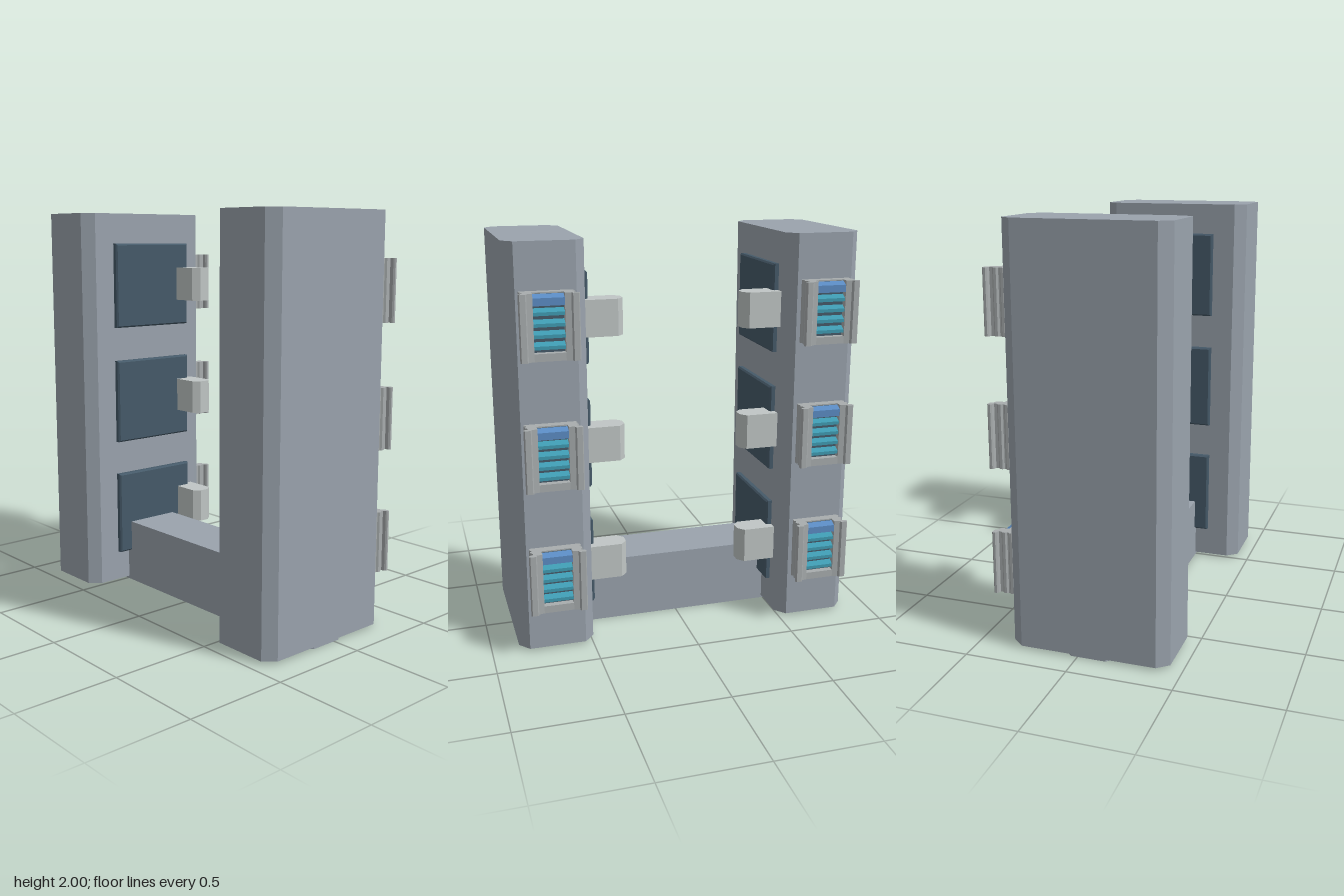
import * as THREE from 'three';

const paint = (name, color) => {
  const m = new THREE.MeshStandardMaterial({ color });
  m.name = name;
  return m;
};

export function createModel() {
  const hull = paint('blue grey', 0x9aa3ad);
  const pale = paint('pale grey', 0xc0c6c5);
  const trim = paint('trim grey', 0xa8adae);
  const dark = paint('dark slate', 0x465a69);
  const blue = paint('blue', 0x5b8cc4);
  const cyan = paint('cyan', 0x3f9bb2);

  const model = new THREE.Group();
  const add = (parent, name, geometry, material) => {
    const mesh = new THREE.Mesh(geometry, material);
    mesh.name = name;
    parent.add(mesh);
    return mesh;
  };
  const toShape = pts => new THREE.Shape(pts.map(p => new THREE.Vector2(...p)));
  const extrude = (pts, depth) =>
    new THREE.ExtrudeGeometry(toShape(pts), { depth, bevelEnabled: false });

  // Prism from a floor-plan outline of [x, z] points
  const prism = (pts, y0, y1) =>
    extrude(pts.map(([x, z]) => [x, -z]), y1 - y0).rotateX(-Math.PI / 2).translate(0, y0, 0);
  // Bar along x from a side outline of [distance behind centre, y] points
  const bar = (pts, x0, x1) =>
    extrude(pts, x1 - x0).rotateY(Math.PI / 2).translate(x0, 0, 0);
  // Rectangle with cut corners
  const cutRect = (x0, x1, z0, z1, cx, cz) => [
    [x0 + cx, z0], [x1 - cx, z0], [x1, z0 + cz], [x1, z1 - cz],
    [x1 - cx, z1], [x0 + cx, z1], [x0, z1 - cz], [x0, z0 + cz]];

  // Low beam joining both towers
  add(model, 'crossBeam', prism(cutRect(-0.858, 0.858, -0.092, 0.198, 0.06, 0.06), 0, 0.333), hull);

  // Ribbed outline of a vent side column: [offset from vent centre, depth]
  const column = [
    [0.072, 0], [0.118, 0], [0.125, 0.008], [0.125, 0.02], [0.117, 0.028],
    [0.117, 0.034], [0.125, 0.042], [0.125, 0.055], [0.115, 0.064], [0.115, 0.078],
    [0.13, 0.082], [0.137, 0.088], [0.137, 0.098], [0.132, 0.104], [0.106, 0.104],
    [0.1, 0.098], [0.1, 0.09], [0.072, 0.085]];
  const back = 0.335, centre = 0.68;

  function makeVent(side) {
    const vent = new THREE.Group();
    vent.name = 'vent';
    for (const m of [-1, 1]) {
      add(vent, 'ventColumn',
        prism(column.map(([u, d]) => [u * m, -back - d]), 0, 0.306), trim);
    }
    const strip = (name, d0, d1, y0, y1, material) =>
      add(vent, name, bar([[back + d0, y0], [back + d1, y0], [back + d1, y1], [back + d0, y1]],
        -0.074, 0.074), material);
    strip('ventBase', 0, 0.045, 0, 0.306, trim);
    strip('ventBacking', 0.045, 0.052, 0.03, 0.3, dark);
    strip('ventSill', 0.045, 0.085, 0, 0.036, trim);
    add(vent, 'ventHeader', bar([[back + 0.052, 0.255], [back + 0.083, 0.25],
      [back + 0.083, 0.285], [back + 0.052, 0.3]], -0.074, 0.074), blue);
    // Sloping slats
    for (let i = 0; i < 4; i++) {
      const y = 0.052 + i * 0.051;
      add(vent, 'ventSlat', bar([[back + 0.052, y + 0.012], [back + 0.078, y],
        [back + 0.078, y + 0.016], [back + 0.052, y + 0.032]], -0.074, 0.074), cyan);
    }
    vent.position.x = side * centre;
    return vent;
  }

  for (const side of [-1, 1]) {
    const tower = new THREE.Group();
    tower.name = side > 0 ? 'leftTower' : 'rightTower';
    const flip = pts => pts.map(([x, z]) => [x * side, z]);
    add(tower, 'towerBody',
      prism(flip(cutRect(0.49, 0.866, -back, 0.438, 0.048, 0.056)), 0.014, 2), hull);

    for (let i = 0; i < 3; i++) {
      const y = i * 0.617;
      // Dark panel with a narrow bevelled rim, on the inner face
      const rim = 0.008;
      const outline = toShape([[-0.232, -0.212], [0.232, -0.212], [0.232, 0.212], [-0.232, 0.212]]);
      const panel = new THREE.ExtrudeGeometry(outline, {
        depth: 0.02, bevelSize: rim, bevelThickness: rim, bevelSegments: 1 });
      panel.rotateY(-side * Math.PI / 2).translate(side * 0.49, 0.39 + y, 0.03);
      add(tower, 'innerPanel', panel, dark);

      // Pale block with cut inner corners
      add(tower, 'innerBlock', prism(flip([
        [0.49, -0.25], [0.328, -0.25], [0.298, -0.215], [0.298, -0.165],
        [0.328, -0.132], [0.49, -0.132]]), 0.304 + y, 0.48 + y), pale);

      const vent = makeVent(side);
      vent.position.y = 0.24 + y;
      tower.add(vent);
    }
    model.add(tower);
  }
  return model;
}
